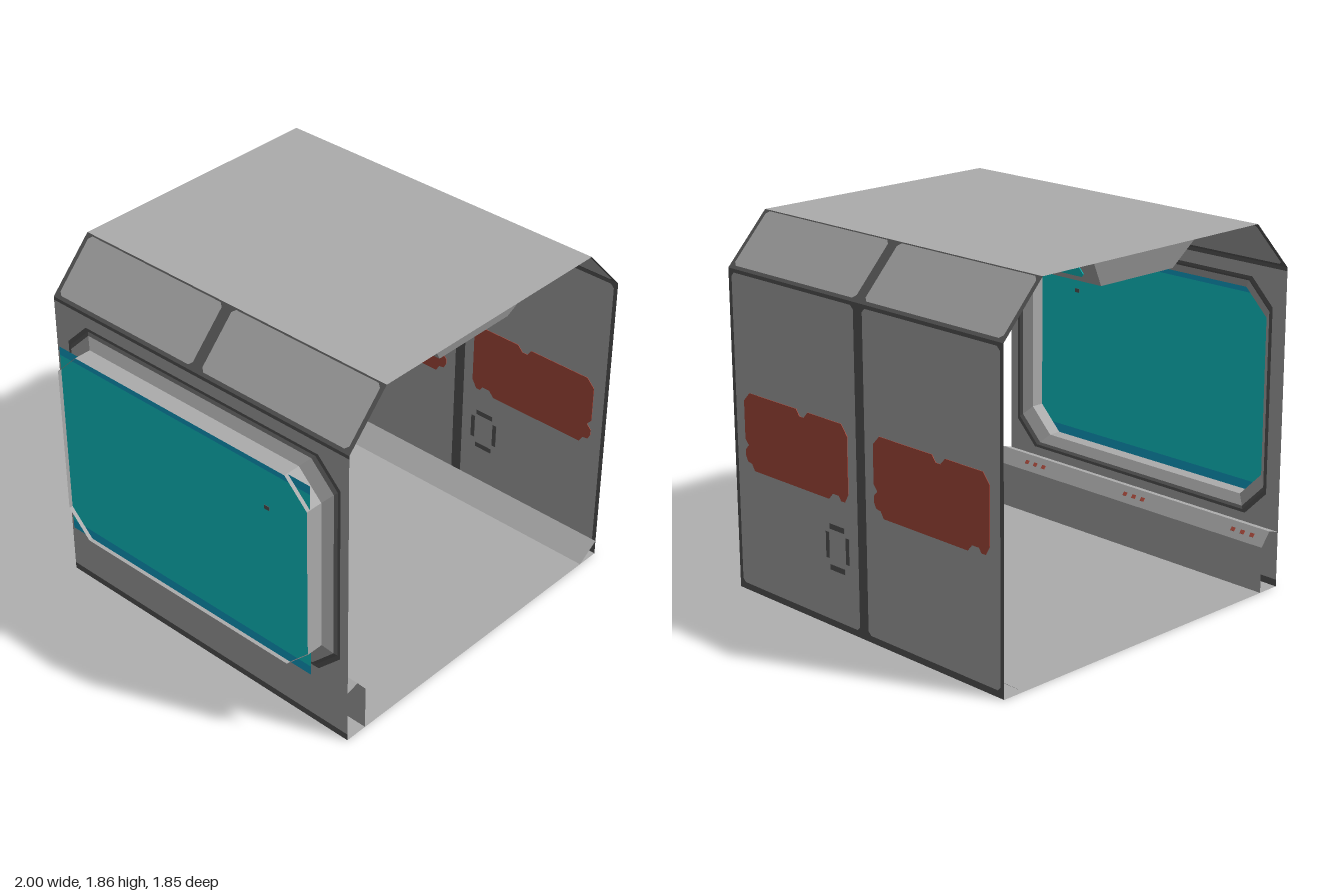
import * as THREE from 'three';

const mat = (name, color) => {
  const m = new THREE.MeshStandardMaterial({ color, side: THREE.DoubleSide });
  m.name = name;
  return m;
};

export function createModel() {
  const model = new THREE.Group();
  const grey = mat('panel grey', 0xacacac);
  const dark = mat('trim dark grey', 0x5a5a5a);
  const red = mat('warning red', 0xb04d3f);
  const teal = mat('glass teal', 0x10d0d2);
  const blue = mat('glass edge blue', 0x10a8d0);

  const D = 0.925, MID = 0.067, TOP = 1.855, EAVE = 1.61;
  const mirror = ([x, y]) => [2 * MID - x, y];

  const add = (name, geo, material) => {
    const mesh = new THREE.Mesh(geo, material);
    mesh.name = name;
    model.add(mesh);
    return mesh;
  };

  // Lay a shape (u along z, v from point a towards point b) into the hull cross-section
  const place = (name, shape, a, b, material, depth = 0) => {
    const geo = depth
      ? new THREE.ExtrudeGeometry(shape, { depth, bevelEnabled: false }).translate(0, 0, -depth / 2)
      : new THREE.ShapeGeometry(shape);
    const u = new THREE.Vector3(0, 0, 1);
    const v = new THREE.Vector3(b[0] - a[0], b[1] - a[1], 0).normalize();
    const m = new THREE.Matrix4().makeBasis(u, v, u.clone().cross(v)).setPosition(a[0], a[1], 0);
    return add(name, geo.applyMatrix4(m), material);
  };

  const poly = (pts) => new THREE.Shape(pts.map(([u, v]) => new THREE.Vector2(u, v)));
  // Rectangle with cut corners
  const cut = (u0, u1, v0, v1, c) => [
    [u0 + c, v0], [u1 - c, v0], [u1, v0 + c], [u1, v1 - c],
    [u1 - c, v1], [u0 + c, v1], [u0, v1 - c], [u0, v0 + c]];
  const rect = (u0, u1, v0, v1) => poly([[u0, v0], [u1, v0], [u1, v1], [u0, v1]]);

  // Two light panels set in a dark frame
  const framed = (name, a, b, low, high) => {
    const len = Math.hypot(b[0] - a[0], b[1] - a[1]);
    const frame = rect(-D, D, 0, len);
    for (const [u0, u1] of [[0.03, 0.903], [-0.903, -0.03]]) {
      const panel = poly(cut(u0, u1, low, len - high, 0.018));
      frame.holes.push(panel);
      place(name + 'Panel', panel, a, b, grey);
    }
    place(name + 'Frame', frame, a, b, dark);
  };

  // Floor, ceiling, right wall and sloped eaves
  const base = [1, 0], eave = [1, EAVE], roof = [0.77, TOP];
  place('floor', rect(-D, D, 0, 1.866), mirror(base), base, grey);
  place('ceiling', rect(-D, D, 0, 1.406), mirror(roof), roof, grey);
  framed('rightWall', base, eave, 0.033, 0.018);
  framed('rightEave', eave, roof, 0.018, 0.006);
  framed('leftEave', mirror(eave), mirror(roof), 0.018, 0.008);
  place('skirting', rect(-D, D, 0, 0.144), [0.88, 0], [1, 0.08], grey);

  // Notched red plates, one on each wall panel
  const plate = [
    [0.797, 1.02], [0.45, 1.02], [0.426, 0.988], [0.396, 0.988], [0.366, 1.02], [0.129, 1.02],
    [0.089, 0.97], [0.089, 0.69], [0.115, 0.645], [0.14, 0.645], [0.155, 0.667], [0.2, 0.667],
    [0.228, 0.635], [0.775, 0.635], [0.795, 0.667], [0.825, 0.672], [0.84, 0.7], [0.84, 0.73],
    [0.815, 0.757], [0.84, 0.785], [0.84, 0.975]];
  for (const shift of [0, -0.93]) {
    place('redPlate', poly(plate.map(([u, v]) => [u + shift, v])), base, eave, red, 0.006);
  }

  // Dashed outline of the wall control
  for (const [u0, u1, v0, v1] of [
    [0.233, 0.257, 0.34, 0.47], [0.092, 0.116, 0.34, 0.47],
    [0.124, 0.228, 0.488, 0.515], [0.124, 0.228, 0.285, 0.312]]) {
    place('controlOutline', rect(u0, u1, v0, v1), base, eave, dark, 0.006);
  }

  // Left wall with its window opening
  const WX = mirror(base)[0], CZ = 0.016, CY = 0.93;
  const octagon = (hz, hy, c = 0.13) => cut(CZ - hz, CZ + hz, CY - hy, CY + hy, c);
  const lbase = [WX, 0], leave = [WX, EAVE];
  const wall = rect(-D, D, 0.035, 1.592);
  wall.holes.push(poly(octagon(0.86, 0.6)));
  place('leftWall', wall, lbase, leave, grey);
  place('leftBaseTrim', rect(-D, D, 0, 0.035), lbase, leave, dark);
  place('leftTopTrim', rect(-D, D, 1.592, EAVE), lbase, leave, dark);
  const rim = poly(octagon(0.86, 0.6));
  rim.holes.push(poly(octagon(0.845, 0.585)));
  place('windowRim', rim, lbase, leave, dark);

  // Loft through rings of 3D points with flat faces
  const loft = (rings) => {
    const pos = [];
    for (let r = 0; r + 1 < rings.length; r++) {
      const A = rings[r], B = rings[r + 1], n = A.length;
      for (let i = 0; i < n; i++) {
        const j = (i + 1) % n;
        pos.push(...A[i], ...A[j], ...B[j], ...A[i], ...B[j], ...B[i]);
      }
    }
    const g = new THREE.BufferGeometry();
    g.setAttribute('position', new THREE.Float32BufferAttribute(pos, 3));
    g.computeVertexNormals();
    return g;
  };
  const ring = (x, hz, hy) => octagon(hz, hy).map(([z, y]) => [x, y, z]);
  add('windowSeal', loft([ring(WX, 0.845, 0.585), ring(-0.877, 0.832, 0.573)]), dark);
  add('windowSurround', loft([
    ring(-0.877, 0.832, 0.573), ring(-0.91, 0.79, 0.528), ring(-1, 0.79, 0.528)]), grey);

  // Glass sheet with bluish bands along top and bottom
  const gx = [-0.98, 0], gy = [-0.98, 1];
  const z0 = CZ - 0.79, z1 = CZ + 0.79;
  place('windowGlass', rect(z0, z1, 0.45, 1.41), gx, gy, teal);
  place('glassTopBand', rect(z0, z1, 1.41, 1.455), gx, gy, blue);
  place('glassBottomBand', rect(z0, z1, 0.402, 0.45), gx, gy, blue);
  place('glassMark', rect(0.535, 0.565, 1.2, 1.22), gx, gy, dark, 0.006);

  // Bench shell along the left wall
  const bench = [[-0.745, 0], [-0.745, 0.235], [-0.8, 0.305], [WX, 0.285]];
  for (let i = 0; i < 3; i++) {
    const a = bench[i], b = bench[i + 1];
    place('bench', rect(-D, D, 0, Math.hypot(b[0] - a[0], b[1] - a[1])), a, b, grey);
  }
  for (const z of [0.65, -0.06, -0.78]) {
    for (const dz of [-0.06, 0, 0.06]) {
      place('benchLight', rect(z + dz - 0.012, z + dz + 0.012, 0.035, 0.055), bench[1], bench[2], red, 0.006);
    }
  }

  // Tapered ceiling duct with a small lamp on its slope
  const duct = (y, hx, hz) => [
    [MID - hx, y, -hz], [MID + hx, y, -hz], [MID + hx, y, hz], [MID - hx, y, hz]];
  add('ceilingDuct', loft([duct(1.85, 0.34, 0.87), duct(1.71, 0.235, 0.82)]), grey);
  place('ceilingDuctBase', rect(-0.82, 0.82, 0, 0.47), [MID - 0.235, 1.71], [MID + 0.235, 1.71], grey);
  place('ceilingLamp', poly(cut(-0.75, -0.55, 0.04, 0.14, 0.02)), [MID + 0.235, 1.71], [MID + 0.34, 1.85], teal, 0.009);

  return model;
}
